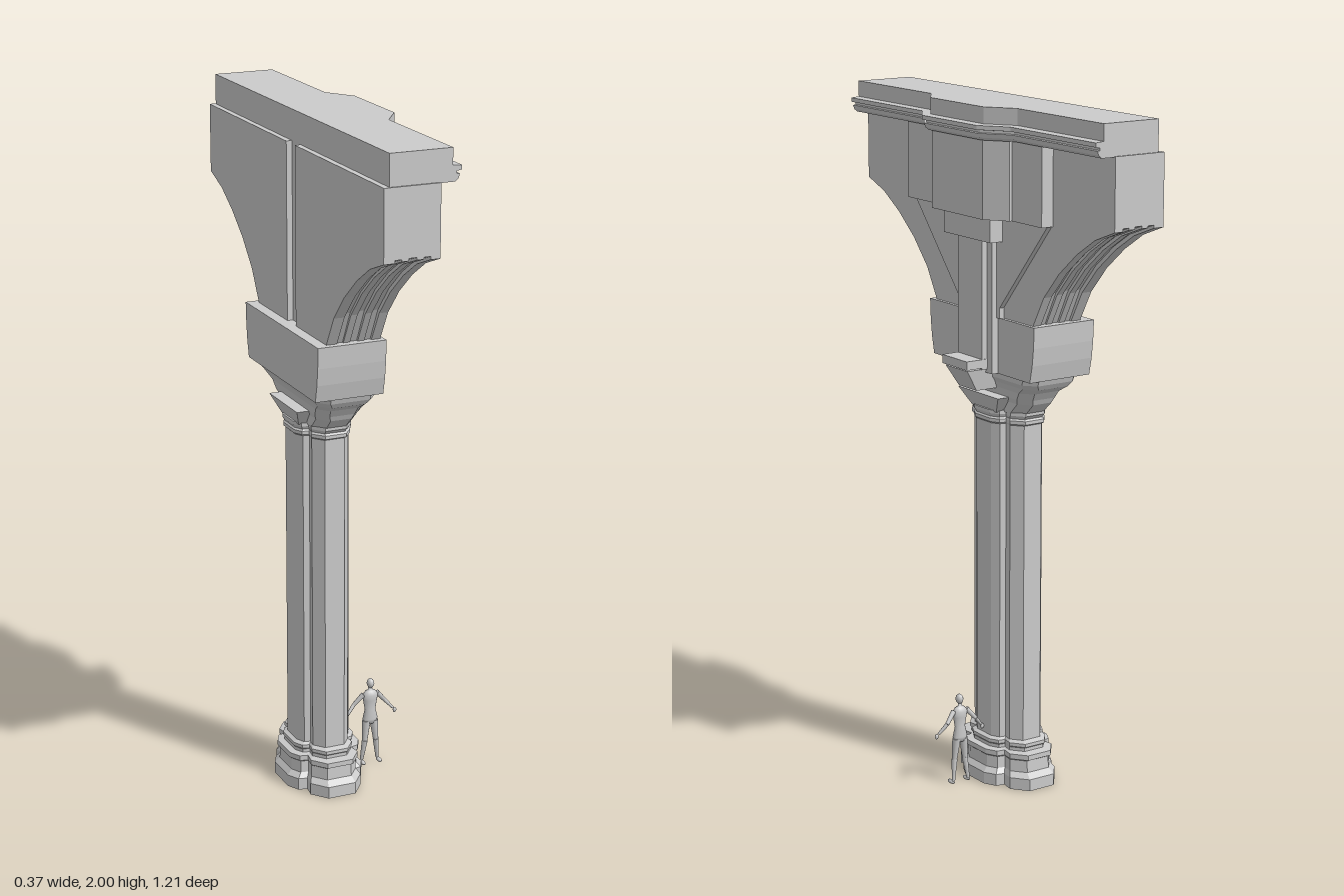
import * as THREE from 'three';

const CX = -0.07; // axis of the column
const grey = new THREE.MeshStandardMaterial({ color: 0xcccccc, flatShading: true });
const skin = new THREE.MeshStandardMaterial({ color: 0xcccccc });

function add(parent, name, geometry, material = grey) {
  const mesh = new THREE.Mesh(geometry, material);
  mesh.name = name;
  parent.add(mesh);
  return mesh;
}

// Mirrors a half plan of [x, z] points, given from front to back with z > 0
const mirrorPlan = half => [...half, ...half.map(([x, z]) => [x, -z]).reverse()];

// Joins horizontal plan rings into a closed solid; each level is { y, plan }
function loft(levels, centre = CX) {
  const positions = [];
  const index = [];
  const n = levels[0].plan.length;
  levels.forEach(({ y, plan }) => plan.forEach(([x, z]) => positions.push(x, y, z)));
  for (let k = 0; k < levels.length - 1; k++) {
    for (let i = 0; i < n; i++) {
      const j = (i + 1) % n;
      const a = k * n + i, b = a + n, c = (k + 1) * n + j, d = k * n + j;
      index.push(a, b, c, a, c, d);
    }
  }
  const top = (levels.length - 1) * n;
  const low = levels.length * n;
  positions.push(centre, levels[0].y, 0, centre, levels[levels.length - 1].y, 0);
  for (let i = 0; i < n; i++) {
    const j = (i + 1) % n;
    index.push(low, i, j, low + 1, top + j, top + i);
  }
  const g = new THREE.BufferGeometry();
  g.setAttribute('position', new THREE.Float32BufferAttribute(positions, 3));
  g.setIndex(index);
  const flat = g.toNonIndexed();
  flat.computeVertexNormals();
  return flat;
}

const rect = (x0, x1, hz) => mirrorPlan([[x1, hz], [x0, hz]]);

function box(parent, name, x0, x1, y0, y1, hz) {
  const m = add(parent, name, new THREE.BoxGeometry(x1 - x0, y1 - y0, hz * 2));
  m.position.set((x0 + x1) / 2, (y0 + y1) / 2, 0);
}

// Extrudes a [z, y] outline between two x positions
function slab(parent, name, outline, x0, x1) {
  const shape = new THREE.Shape(outline.map(([z, y]) => new THREE.Vector2(-z, y)));
  const g = new THREE.ExtrudeGeometry(shape, { depth: x1 - x0, bevelEnabled: false });
  g.rotateY(Math.PI / 2).translate(x0, 0, 0);
  add(parent, name, g);
}

// Clustered plan with a lobe on each of the four sides
const quarter = [[0.083, 0.035], [0.070, 0.060], [0.052, 0.064], [0.056, 0.090], [0.030, 0.123]];
const lobes = mirrorPlan([...quarter, ...quarter.map(([x, z]) => [-x, z]).reverse()]);
const cluster = s => lobes.map(([x, z]) => [CX + x * s, z * s]);

function buildColumn(root) {
  const column = new THREE.Group();
  column.name = 'column';
  root.add(column);
  const profile = pairs => loft(pairs.map(([y, s]) => ({ y, plan: cluster(s) })));
  add(column, 'base', profile([
    [0, 1.43], [0.035, 1.43], [0.05, 1.27], [0.085, 1.25], [0.09, 1.33], [0.105, 1.33],
    [0.108, 1.1], [0.118, 1.1], [0.122, 1.14], [0.132, 1.14], [0.138, 1]]));
  add(column, 'shaft', profile([[0.13, 1], [1.09, 1]]));
  add(column, 'neckRing', profile([
    [1.085, 1], [1.09, 1.07], [1.1, 1.07], [1.105, 1.02], [1.115, 1.09], [1.125, 1.09]]));

  // Flared capital facing front and back
  add(column, 'capital', loft([[1.12, 0.083, 0.06], [1.17, 0.105, 0.1]].map(([y, hx, hz]) => (
    { y, plan: rect(CX - hx, CX + hx, hz) }))));
  // Stepped corbel spreading sideways
  const corbel = [[1.12, 0.06, 0.13], [1.155, 0.062, 0.168], [1.17, 0.068, 0.175],
    [1.192, 0.072, 0.19], [1.21, 0.08, 0.22], [1.225, 0.09, 0.23], [1.24, 0.09, 0.235]];
  add(column, 'corbel', loft(corbel.map(([y, hx, hz]) => ({
    y,
    plan: mirrorPlan([[CX + hx, hz - 0.035], [CX + hx - 0.03, hz], [CX - hx + 0.03, hz], [CX - hx, hz - 0.035]])
  }))));
  const block = [[1.24, 0.24], [1.29, 0.251], [1.34, 0.257], [1.4, 0.26]];
  add(column, 'imposBlock'.replace('impos', 'impost'), loft(block.map(([y, hz]) => (
    { y, plan: rect(-0.18, 0.025, hz) }))));
}

// Arch springing, from the impost to the outer end
const arch = [[0.24, 1.4], [0.29, 1.488], [0.36, 1.565], [0.44, 1.63], [0.52, 1.68], [0.605, 1.712]];

function buildWall(root) {
  const wall = new THREE.Group();
  wall.name = 'archWall';
  root.add(wall);
  // Layers across the thickness: x start, x end, recess of the soffit, inner edge
  const layers = [
    [-0.147, -0.13, 0, 0.03], [-0.13, -0.115, 0, 0], [-0.115, -0.095, 0.012, 0],
    [-0.095, -0.075, 0.004, 0], [-0.075, -0.052, 0.014, 0], [-0.052, -0.032, 0.004, 0],
    [-0.032, -0.012, 0.012, 0], [-0.012, 0.015, 0, 0]];
  for (const side of [1, -1]) {
    for (const [x0, x1, cut, inner] of layers) {
      const curve = arch.map(([z, y], i) => [
        side * (i < arch.length - 1 ? z - cut * 0.7 : z), i ? y + cut * 0.7 : y]);
      slab(wall, 'archLayer', [[side * inner, 1.4], ...curve, [side * 0.605, 1.912], [side * inner, 1.912]], x0, x1);
    }
    // Raised diagonal panel under the front block
    slab(wall, 'spandrelPanel', [[0, 1.4], [side * 0.1, 1.4], [side * 0.1, 1.43],
      [side * 0.33, 1.695], [0, 1.695]], 0.01, 0.03);
  }
}

function buildFront(root) {
  const front = new THREE.Group();
  front.name = 'frontPier';
  root.add(front);
  const plan = mirrorPlan([[0.105, 0.125], [0.06, 0.19], [0.052, 0.19], [0.052, 0.33], [-0.02, 0.33]]);
  add(front, 'frontBlock', loft([{ y: 1.69, plan }, { y: 1.912, plan }], 0));
  box(front, 'pilasterCap', -0.02, 0.072, 1.62, 1.69, 0.115);
  box(front, 'pilasterBack', -0.02, 0.045, 1.24, 1.62, 0.085);
  box(front, 'pilaster', -0.02, 0.062, 1.25, 1.62, 0.06);
  box(front, 'bracketShelf', 0, 0.115, 1.255, 1.28, 0.062);
  add(front, 'bracket', loft([
    { y: 1.188, plan: rect(0, 0.07, 0.045) },
    { y: 1.25, plan: rect(0, 0.108, 0.055) }], 0.04));
}

function buildCornice(root) {
  const plan = d => mirrorPlan([
    [0.105 + d, 0.13 + d * 0.2], [0.05 + d, 0.212 + d * 0.2], [0.05 + d, 0.6], [-0.13, 0.6]]);
  const steps = [[1.91, 0.006], [1.918, 0.016], [1.93, 0.02], [1.931, 0.012], [1.938, 0.012],
    [1.94, 0.026], [1.952, 0.026], [1.954, 0], [2, 0]];
  add(root, 'cornice', loft(steps.map(([y, d]) => ({ y, plan: plan(d) })), -0.04));
}

// Small standing person giving the scale
function buildFigure(root) {
  const figure = new THREE.Group();
  figure.name = 'scaleFigure';
  figure.position.set(0.1, 0, 0);
  root.add(figure);
  const up = new THREE.Vector3(0, 1, 0);
  const limb = (name, from, to, r0, r1) => {
    const a = new THREE.Vector3(...from), d = new THREE.Vector3(...to).sub(a);
    const m = add(figure, name, new THREE.CylinderGeometry(r1, r0, d.length(), 10), skin);
    m.position.copy(a).addScaledVector(d, 0.5);
    m.quaternion.setFromUnitVectors(up, d.normalize());
  };
  const ball = (name, p, sx, sy, sz) => {
    const m = add(figure, name, new THREE.SphereGeometry(1, 12, 8), skin);
    m.position.set(...p);
    m.scale.set(sx, sy, sz);
  };
  const torso = [[0, 0.125], [0.018, 0.13], [0.024, 0.145], [0.017, 0.175], [0.022, 0.205],
    [0.025, 0.222], [0.016, 0.234], [0.007, 0.238], [0.006, 0.248]].map(p => new THREE.Vector2(...p));
  add(figure, 'torso', new THREE.LatheGeometry(torso, 14), skin).scale.z = 0.62;
  ball('head', [0, 0.259, 0.002], 0.011, 0.015, 0.013);
  for (const s of [1, -1]) {
    limb('upperArm', [s * 0.022, 0.225, 0], [s * 0.05, 0.193, -0.008], 0.008, 0.006);
    limb('forearm', [s * 0.05, 0.193, -0.008], [s * 0.075, 0.165, 0], 0.006, 0.004);
    ball('hand', [s * 0.08, 0.158, 0.002], 0.006, 0.008, 0.004);
    limb('thigh', [s * 0.012, 0.138, 0], [s * 0.018, 0.075, 0.002], 0.013, 0.008);
    limb('shin', [s * 0.018, 0.075, 0.002], [s * 0.026, 0.01, -0.004], 0.009, 0.005);
    ball('foot', [s * 0.027, 0.006, 0.006], 0.007, 0.006, 0.016);
  }
}

export function createModel() {
  const root = new THREE.Group();
  root.name = 'archPier';
  buildColumn(root);
  buildWall(root);
  buildFront(root);
  buildCornice(root);
  buildFigure(root);
  return root;
}
